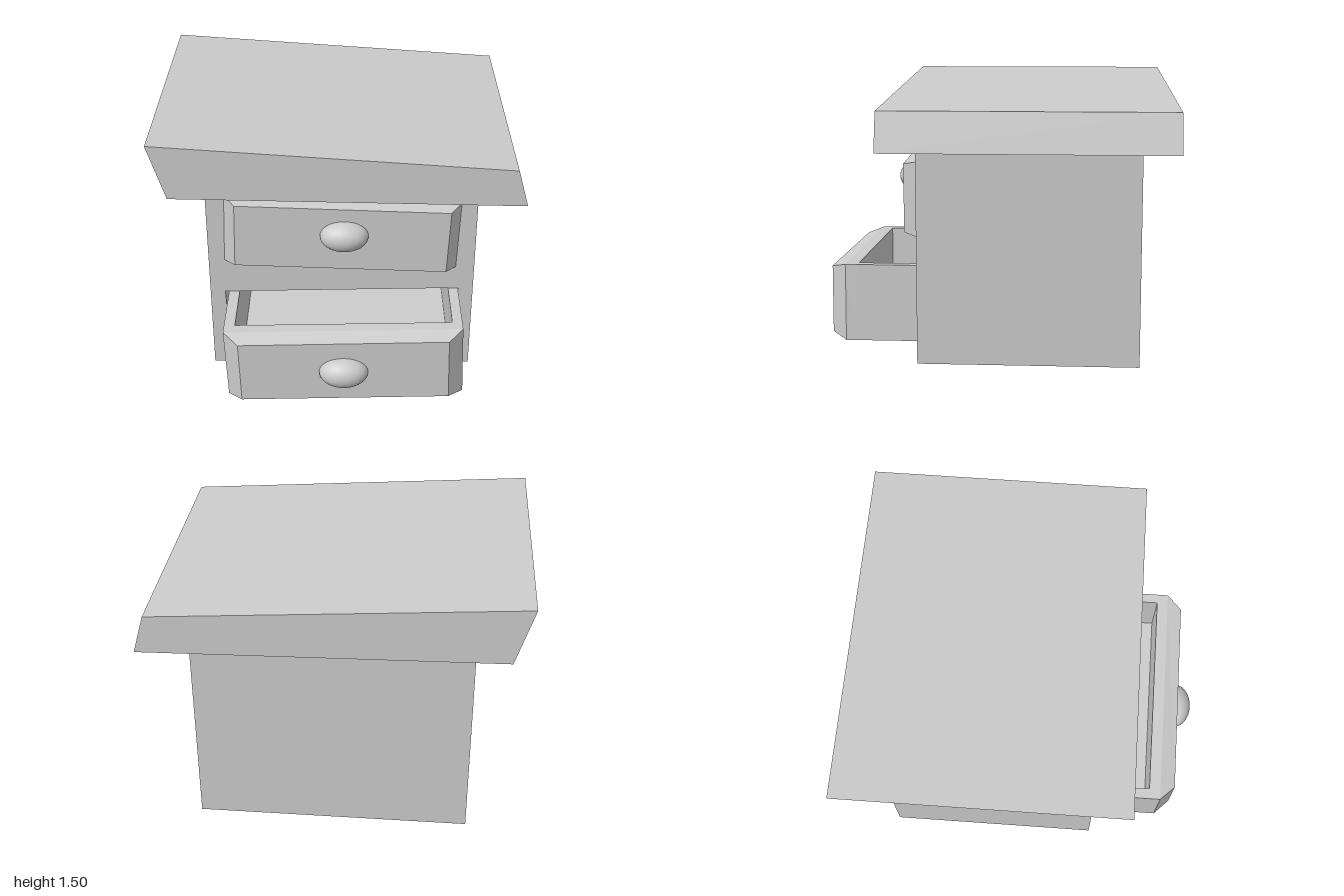
import * as THREE from 'three';

const grey = new THREE.MeshStandardMaterial({ color: 0xcccccc, flatShading: true });
const smoothGrey = new THREE.MeshStandardMaterial({ color: 0xcccccc });

function addMesh(parent, name, geometry, material = grey) {
  const mesh = new THREE.Mesh(geometry, material);
  mesh.name = name;
  parent.add(mesh);
  return mesh;
}

const toPoints = (pts) => pts.map(([x, y]) => new THREE.Vector2(x, y));

// Prism with the given x/y outline between two depths, with an optional hole
function prism(outline, z0, z1, hole) {
  const shape = new THREE.Shape(toPoints(outline));
  if (hole) shape.holes.push(new THREE.Path(toPoints(hole)));
  const geometry = new THREE.ExtrudeGeometry(shape, { depth: z1 - z0, bevelEnabled: false });
  return geometry.translate(0, 0, z0);
}

// Solid through four-cornered sections (anticlockwise from the front), back to front
function loft(sections) {
  const pos = [];
  const quad = (a, b, c, d) => pos.push(...a, ...b, ...c, ...a, ...c, ...d);
  const rings = sections.map(({ z, pts }) => pts.map(([x, y]) => [x, y, z]));
  for (let s = 0; s < rings.length - 1; s++) {
    for (let i = 0; i < 4; i++) {
      const j = (i + 1) % 4;
      quad(rings[s][i], rings[s][j], rings[s + 1][j], rings[s + 1][i]);
    }
  }
  quad(...rings[rings.length - 1]);
  quad(...[...rings[0]].reverse());
  const geometry = new THREE.BufferGeometry();
  geometry.setAttribute('position', new THREE.Float32BufferAttribute(pos, 3));
  geometry.computeVertexNormals();
  return geometry;
}

function addKnob(parent, y, z) {
  const geometry = new THREE.SphereGeometry(1, 32, 20).scale(0.133, 0.086, 0.092);
  addMesh(parent, 'knob', geometry, smoothGrey).position.set(0.03, y, z);
}

export function createModel() {
  const model = new THREE.Group();
  model.name = 'nightstand';

  // Cabinet with an opening for the lower drawer
  const cabinet = new THREE.Group();
  cabinet.name = 'cabinet';
  model.add(cabinet);
  const outline = [[-0.73, 0], [0.76, 0], [0.76, 1.18], [-0.73, 1.2]];
  const opening = [[-0.633, 0.073], [0.693, 0.102], [0.678, 0.523], [-0.646, 0.493]];
  addMesh(cabinet, 'cabinetShell', prism(outline, -0.74, 0.395, opening));
  addMesh(cabinet, 'cabinetBack', prism(outline, -0.79, -0.74));

  // Crooked slanted top
  addMesh(model, 'top', prism([[-0.905, 1.195], [1, 1.16], [0.94, 1.37], [-1, 1.505]], -0.97, 0.572));

  // Upper drawer, closed, with a bevelled front
  const upper = new THREE.Group();
  upper.name = 'upperDrawer';
  model.add(upper);
  addMesh(upper, 'upperDrawerFront', loft([
    { z: 0.39, pts: [[-0.645, 0.705], [0.66, 0.665], [0.675, 1.08], [-0.63, 1.122]] },
    { z: 0.48, pts: [[-0.575, 0.725], [0.595, 0.685], [0.61, 1.06], [-0.565, 1.1]] },
  ]));
  addKnob(upper, 0.92, 0.488);

  // Lower drawer, pulled out and hollow
  const lower = new THREE.Group();
  lower.name = 'lowerDrawer';
  model.add(lower);
  const outer = [[-0.61, 0.075], [0.69, 0.105], [0.675, 0.52], [-0.625, 0.49]];
  const tray = [
    ...outer.slice(0, 3), [0.62, 0.519], [0.632, 0.16], [-0.553, 0.132], [-0.565, 0.491], outer[3],
  ];
  addMesh(lower, 'tray', prism(tray, -0.36, 0.725));
  addMesh(lower, 'trayBack', prism(outer, -0.42, -0.36));
  addMesh(lower, 'lowerDrawerFront', loft([
    { z: 0.725, pts: outer },
    { z: 0.79, pts: outer },
    { z: 0.876, pts: [[-0.53, 0.1], [0.605, 0.13], [0.595, 0.495], [-0.54, 0.465]] },
  ]));
  addKnob(lower, 0.297, 0.878);

  return model;
}
